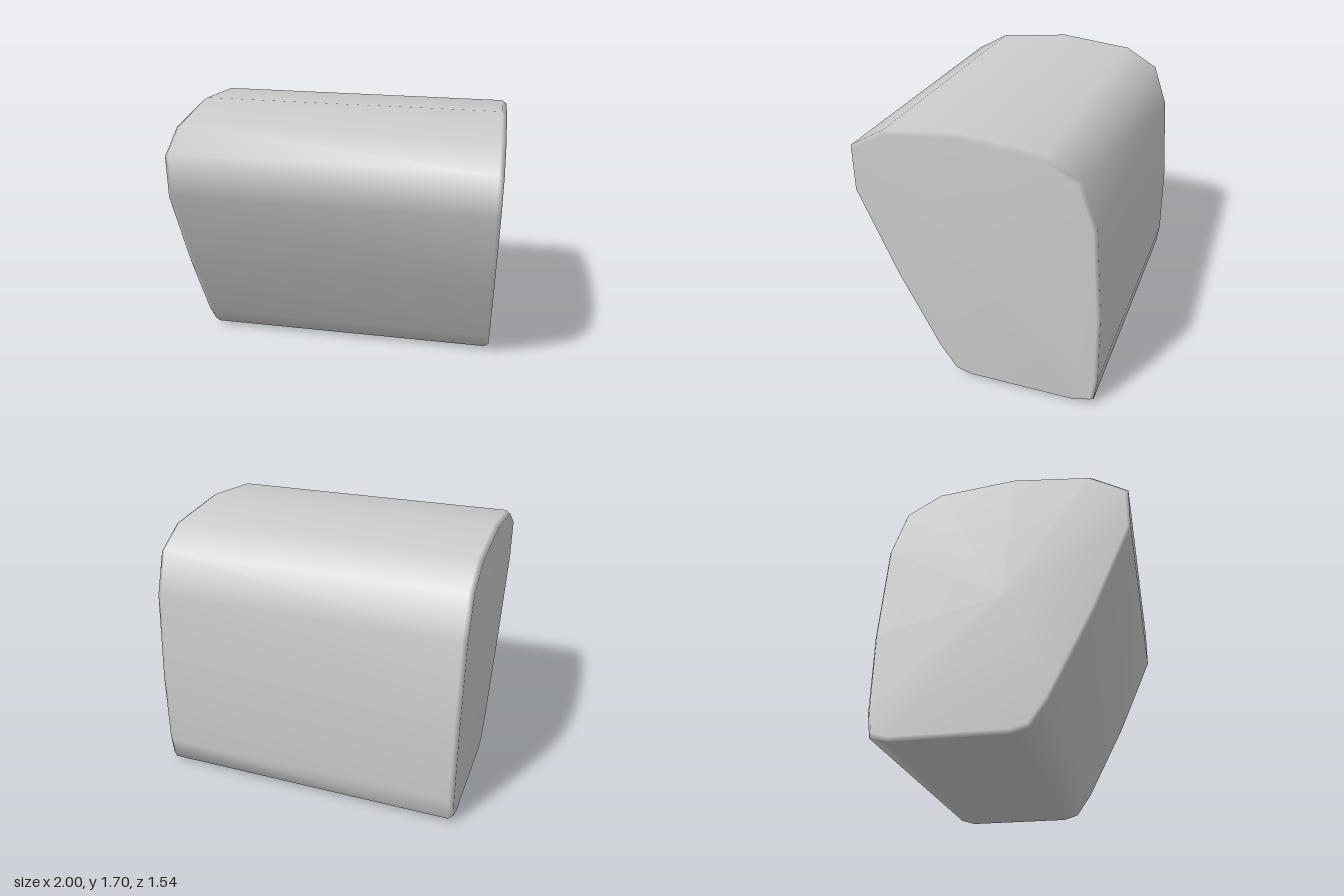
import * as THREE from 'three';

// Side profile as [z, y], running top -> front -> bottom -> back
const PROFILE = [
  [0.07, 1.695], [0.55, 1.645], [0.77, 1.52], [0.77, 1.255], [0.53, 0.7],
  [0.265, 0.18], [0.16, 0.03], [0.06, 0], [-0.65, 0], [-0.75, 0.03],
  [-0.77, 0.18], [-0.768, 0.66], [-0.725, 1.25], [-0.63, 1.52], [-0.415, 1.645],
];

// Cross-sections along x: the end rings are drawn in a little for the bevel
const RINGS = [
  { x: -1, scale: 0.976 },
  { x: -0.97, scale: 1 },
  { x: 0.97, scale: 1 },
  { x: 1, scale: 0.976 },
];
const CENTRE_Y = 0.85;

function createBodyGeometry() {
  const n = PROFILE.length;
  const positions = [];
  const index = [];

  for (const { x, scale } of RINGS) {
    for (const [z, y] of PROFILE) {
      positions.push(x, CENTRE_Y + (y - CENTRE_Y) * scale, z * scale);
    }
  }

  // Walls between neighbouring rings
  for (let r = 0; r < RINGS.length - 1; r++) {
    for (let i = 0; i < n; i++) {
      const a = r * n + i;
      const b = r * n + ((i + 1) % n);
      index.push(a, b, b + n, a, b + n, a + n);
    }
  }

  // Flat end caps, fanned from a centre point
  const left = positions.length / 3;
  positions.push(1, CENTRE_Y, 0, -1, CENTRE_Y, 0);
  const lastRing = (RINGS.length - 1) * n;
  for (let i = 0; i < n; i++) {
    const j = (i + 1) % n;
    index.push(left, lastRing + i, lastRing + j);
    index.push(left + 1, j, i);
  }

  const geometry = new THREE.BufferGeometry();
  geometry.setAttribute('position', new THREE.Float32BufferAttribute(positions, 3));
  geometry.setIndex(index);
  geometry.computeVertexNormals();
  return geometry;
}

export function createModel() {
  const group = new THREE.Group();
  group.name = 'taperedBlock';
  const body = new THREE.Mesh(
    createBodyGeometry(),
    new THREE.MeshStandardMaterial({ color: 0xcccccc }),
  );
  body.name = 'body';
  group.add(body);
  return group;
}
